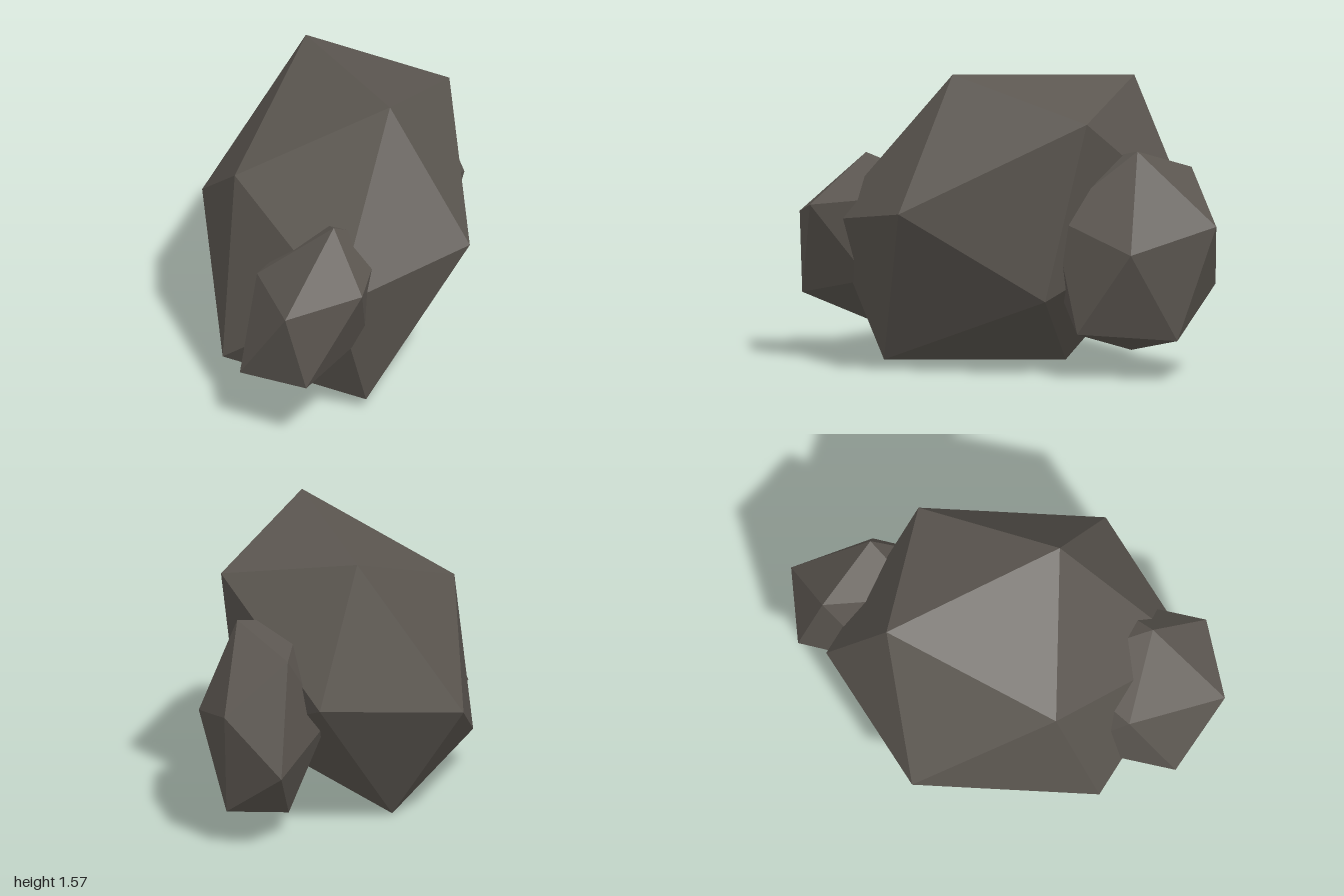
import * as THREE from 'three';
import { ConvexGeometry } from 'three/addons/geometries/ConvexGeometry.js';

// A faceted boulder: a skewed icosahedron given by its centre and six corners,
// each corner mirrored through the centre to give the opposite one.
function boulder(name, centre, corners, material) {
  const points = [];
  for (const c of corners) {
    const v = new THREE.Vector3(...c);
    points.push(v, v.clone().negate());
  }
  const mesh = new THREE.Mesh(new ConvexGeometry(points), material);
  mesh.name = name;
  mesh.position.set(...centre);
  return mesh;
}

export function createModel() {
  const group = new THREE.Group();
  group.name = 'rockCluster';

  const stone = new THREE.MeshStandardMaterial({ color: 0x5c5751 });
  stone.name = 'darkStone';

  // Large central rock
  group.add(boulder('mainRock', [-0.07, 0.79, -0.025], [
    [0.05, 0.785, 0.385],
    [0.28, 0.735, -0.595],
    [0.75, 0.575, 0.01],
    [0.22, 0.105, 0.835],
    [0.59, 0.025, -0.745],
    [0.56, -0.37, 0.145],
  ], stone));

  // Tall rock leaning on the left, towards the back
  group.add(boulder('leftRock', [0.62, 0.67, -0.35], [
    [0.12, 0.54, 0.06],
    [0.04, 0.42, -0.33],
    [0.38, 0.15, -0.26],
    [0.27, 0.02, 0.2],
    [0.13, -0.19, -0.42],
    [0.27, -0.45, -0.09],
  ], stone));

  // Smaller rock on the right, towards the front
  group.add(boulder('rightRock', [-0.59, 0.63, 0.415], [
    [0.04, 0.49, 0.135],
    [-0.39, 0.14, 0.265],
    [-0.02, 0.23, 0.445],
    [-0.29, -0.27, 0.315],
    [-0.41, -0.3, -0.085],
    [-0.19, 0.156, -0.215],
  ], stone));

  return group;
}
